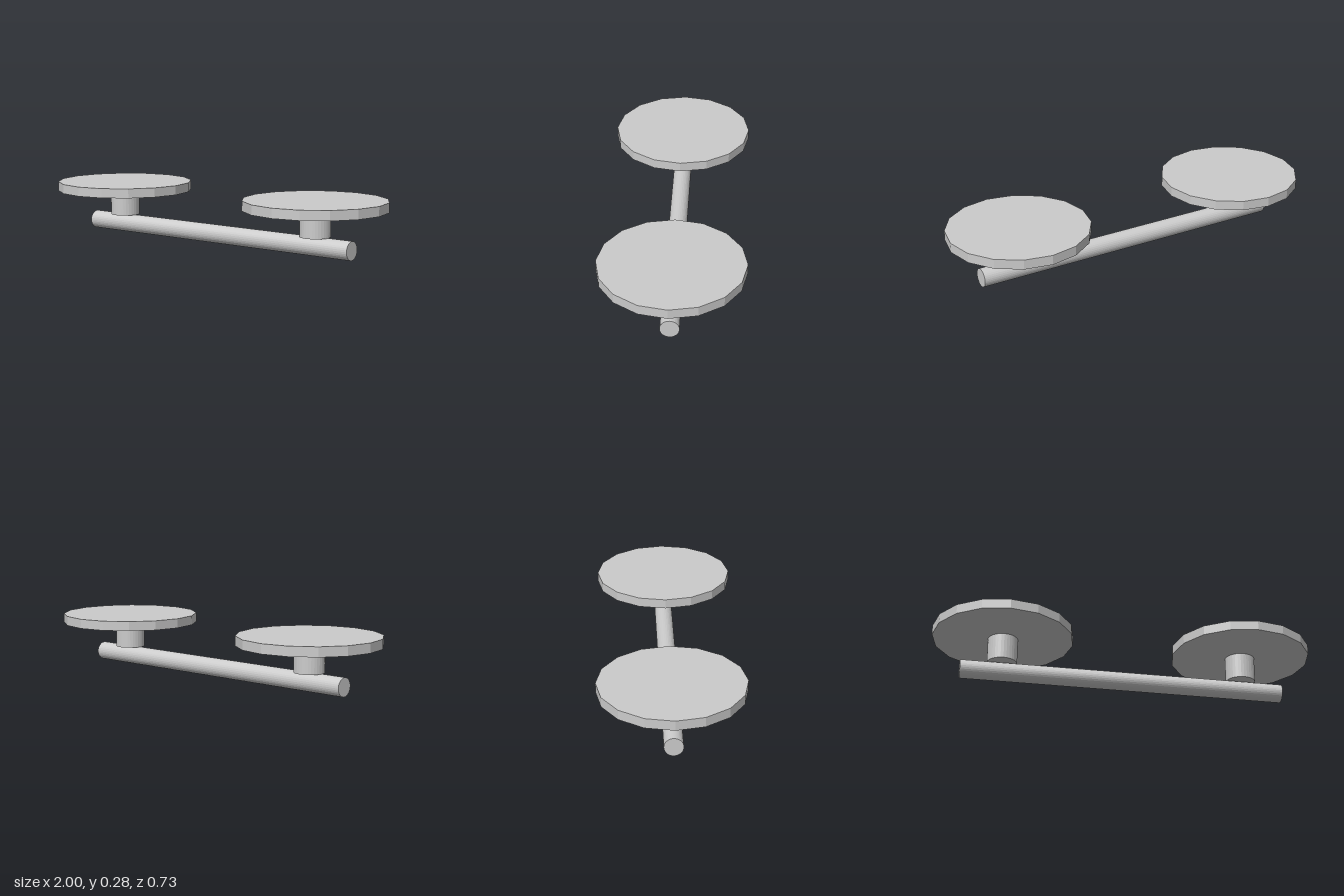
import * as THREE from 'three';

export function createModel() {
  const model = new THREE.Group();
  const material = new THREE.MeshStandardMaterial({ color: 0xcccccc, flatShading: true });

  // Upright cylinder spanning bottom..top
  function cylinder(name, radius, bottom, top, sides, x) {
    const mesh = new THREE.Mesh(new THREE.CylinderGeometry(radius, radius, top - bottom, sides), material);
    mesh.name = name;
    mesh.position.set(x, (bottom + top) / 2, 0);
    model.add(mesh);
  }

  // Horizontal bar lying along x
  const barRadius = 0.048;
  const bar = new THREE.Mesh(new THREE.CylinderGeometry(barRadius, barRadius, 1.7, 32), material);
  bar.name = 'bar';
  bar.rotation.z = Math.PI / 2;
  bar.position.y = barRadius;
  model.add(bar);

  // A post and a sixteen-sided disc at each end
  for (const [side, sign] of [['left', 1], ['right', -1]]) {
    const x = sign * 0.634;
    cylinder(side + 'Post', 0.078, 2 * barRadius, 0.23, 32, x);
    cylinder(side + 'Disc', 0.366, 0.23, 0.28, 16, x);
  }

  return model;
}
